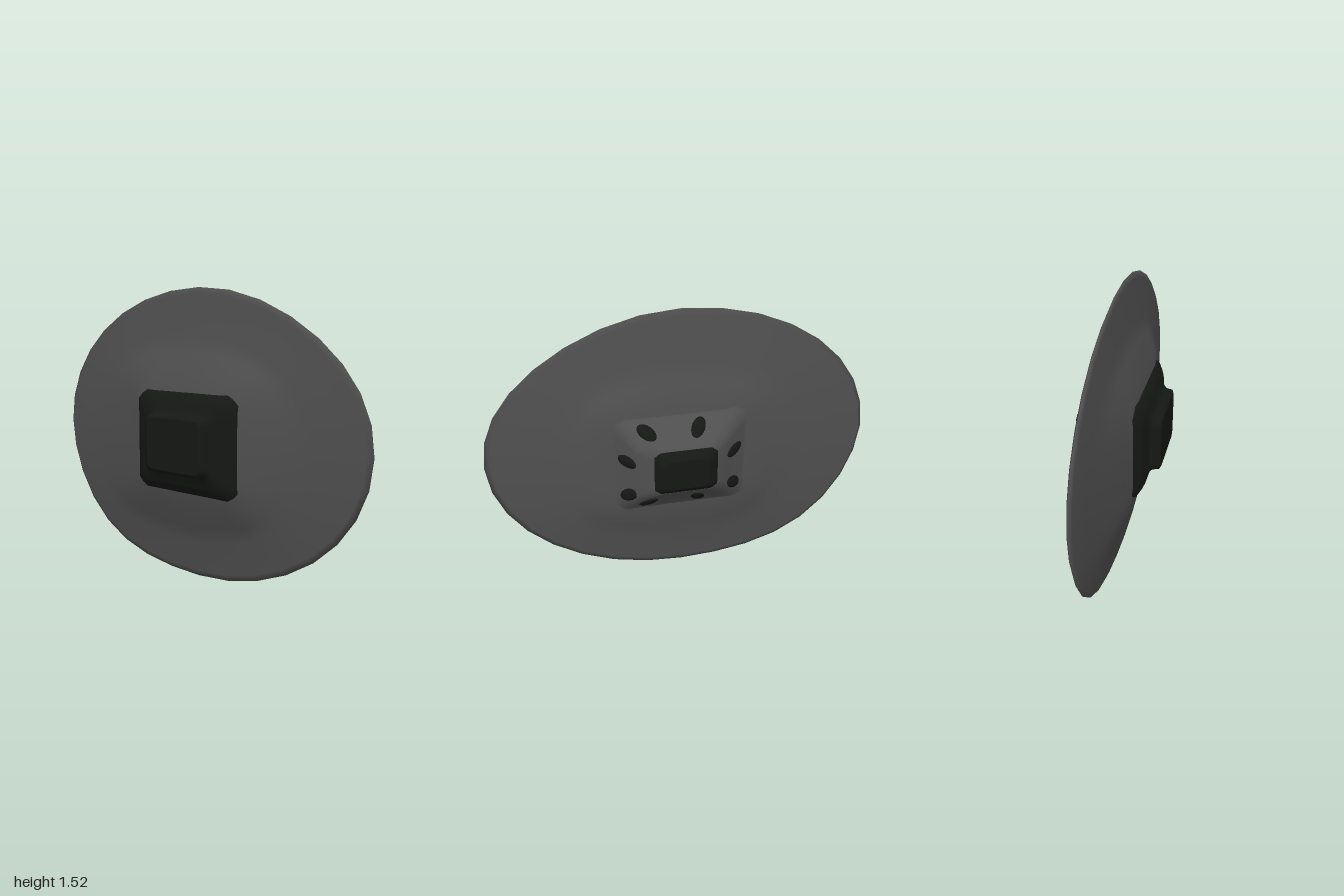
import * as THREE from 'three';

const hullMat = new THREE.MeshStandardMaterial({ color: 0x505050 });
const darkMat = new THREE.MeshStandardMaterial({ color: 0x151815 });

// One cross-section point; square runs from 0 (ellipse) to 1 (rectangle with cut corners)
function sectionPoint([z, x0, x1, y0, y1, square, cut = 0.2], t) {
  const c = Math.cos(t), s = Math.sin(t), ac = Math.abs(c), as = Math.abs(s);
  const box = 1 / Math.max(ac, as, (ac + as) / (2 - cut));
  const r = 1 + (box - 1) * square;
  // the rim is a slightly uneven oval
  const wave = Math.sin(2 * t) ** 2 * (1 - square);
  let skew = 0;
  if (c < 0 && s < 0) skew = -0.055 * wave;
  if (c > 0 && s > 0) skew = -0.03 * wave;
  return [(x0 + x1) / 2 + (x1 - x0) / 2 * r * c, (y0 + y1) / 2 + (y1 - y0) / 2 * (r * s + skew), z];
}

// Loft through sections listed from front (+z) to back, with flat end caps
function loft(name, sections, sides, material) {
  const pos = [], index = [];
  const addRing = (sec) => {
    const start = pos.length / 3;
    for (let j = 0; j < sides; j++) pos.push(...sectionPoint(sec, j / sides * Math.PI * 2));
    return start;
  };
  const starts = sections.map(addRing);
  for (let i = 0; i < starts.length - 1; i++) {
    for (let j = 0; j < sides; j++) {
      const k = (j + 1) % sides, a = starts[i], b = starts[i + 1];
      index.push(a + j, b + j, a + k, a + k, b + j, b + k);
    }
  }
  [sections[0], sections[sections.length - 1]].forEach((sec, end) => {
    const start = addRing(sec), centre = pos.length / 3;
    pos.push((sec[1] + sec[2]) / 2, (sec[3] + sec[4]) / 2, sec[0]);
    for (let j = 0; j < sides; j++) {
      const k = (j + 1) % sides;
      index.push(centre, start + (end ? k : j), start + (end ? j : k));
    }
  });
  const geo = new THREE.BufferGeometry();
  geo.setAttribute('position', new THREE.Float32BufferAttribute(pos, 3));
  geo.setIndex(index);
  geo.computeVertexNormals();
  const mesh = new THREE.Mesh(geo, material);
  mesh.name = name;
  return mesh;
}

export function createModel() {
  const group = new THREE.Group();
  group.name = 'saucer';

  // Disc: z, left and right edge, bottom and top edge, squareness
  group.add(loft('disc', [
    [0.12, -0.31, 0.34, 0.475, 0.995, 1],
    [0.10, -0.40, 0.42, 0.38, 1.09, 0.7],
    [0.06, -0.62, 0.57, 0.28, 1.20, 0.35],
    [0.03, -0.82, 0.72, 0.19, 1.29, 0.12],
    [0.012, -0.98, 0.97, 0.03, 1.49, 0],
    [0, -1, 1, 0, 1.52, 0],
    [-0.012, -0.98, 0.97, 0.03, 1.49, 0],
    [-0.033, -0.68, 0.71, 0.20, 1.28, 0.15],
    [-0.06, -0.51, 0.57, 0.30, 1.17, 0.4],
    [-0.08, -0.40, 0.46, 0.38, 1.09, 0.7],
    [-0.09, -0.31, 0.35, 0.47, 1.00, 1, 0.1],
  ], 32, hullMat));

  // Sloping cabin on the back
  group.add(loft('cabin', [
    [-0.085, -0.33, 0.37, 0.455, 1.015, 1, 0.1],
    [-0.095, -0.30, 0.34, 0.48, 0.99, 1, 0.12],
    [-0.17, -0.20, 0.26, 0.575, 0.90, 1, 0.15],
    [-0.195, -0.15, 0.18, 0.61, 0.86, 1, 0.2],
  ], 64, hullMat));

  group.add(loft('cabinCap', [
    [-0.188, -0.152, 0.182, 0.608, 0.862, 1],
    [-0.20, -0.145, 0.172, 0.615, 0.855, 1],
    [-0.218, -0.115, 0.145, 0.635, 0.83, 1],
    [-0.226, -0.10, 0.13, 0.65, 0.815, 1],
  ], 64, darkMat));

  // Stepped block on the front
  group.add(loft('frontBlock', [
    [0.23, -0.155, 0.19, 0.605, 0.87, 1, 0.12],
    [0.222, -0.17, 0.205, 0.59, 0.883, 1, 0.12],
    [0.188, -0.175, 0.21, 0.585, 0.888, 1, 0.12],
    [0.172, -0.19, 0.225, 0.57, 0.905, 1, 0.13],
    [0.16, -0.245, 0.275, 0.53, 0.94, 1, 0.15],
    [0.15, -0.27, 0.30, 0.51, 0.96, 1, 0.15],
    [0.125, -0.31, 0.34, 0.477, 0.993, 1, 0.15],
    [0.11, -0.315, 0.345, 0.472, 0.998, 1, 0.15],
  ], 64, darkMat));

  // Oval windows, two on each sloping side, pointing away from the cabin's middle
  const middle = new THREE.Vector3(0.02, 0.735, -0.13);
  const windowGeo = new THREE.SphereGeometry(1, 16, 12);
  const addWindow = (x, y, nx, ny) => {
    const normal = new THREE.Vector3(nx * 0.6, ny * 0.63, -0.79).normalize();
    const pane = new THREE.Mesh(windowGeo, darkMat);
    pane.name = 'window';
    pane.position.set(x, y, -0.133);
    const along = pane.position.clone().sub(middle).projectOnPlane(normal).normalize();
    const across = new THREE.Vector3().crossVectors(along, normal);
    pane.quaternion.setFromRotationMatrix(new THREE.Matrix4().makeBasis(across, along, normal));
    pane.scale.set(0.034, 0.056, 0.012);
    group.add(pane);
  };
  for (const x of [-0.06, 0.2]) {
    addWindow(x, 0.945, 0, 1);
    addWindow(x, 0.528, 0, -1);
  }
  for (const y of [0.79, 0.59]) {
    addWindow(-0.25, y, -1, 0);
    addWindow(0.30, y, 1, 0);
  }
  return group;
}
